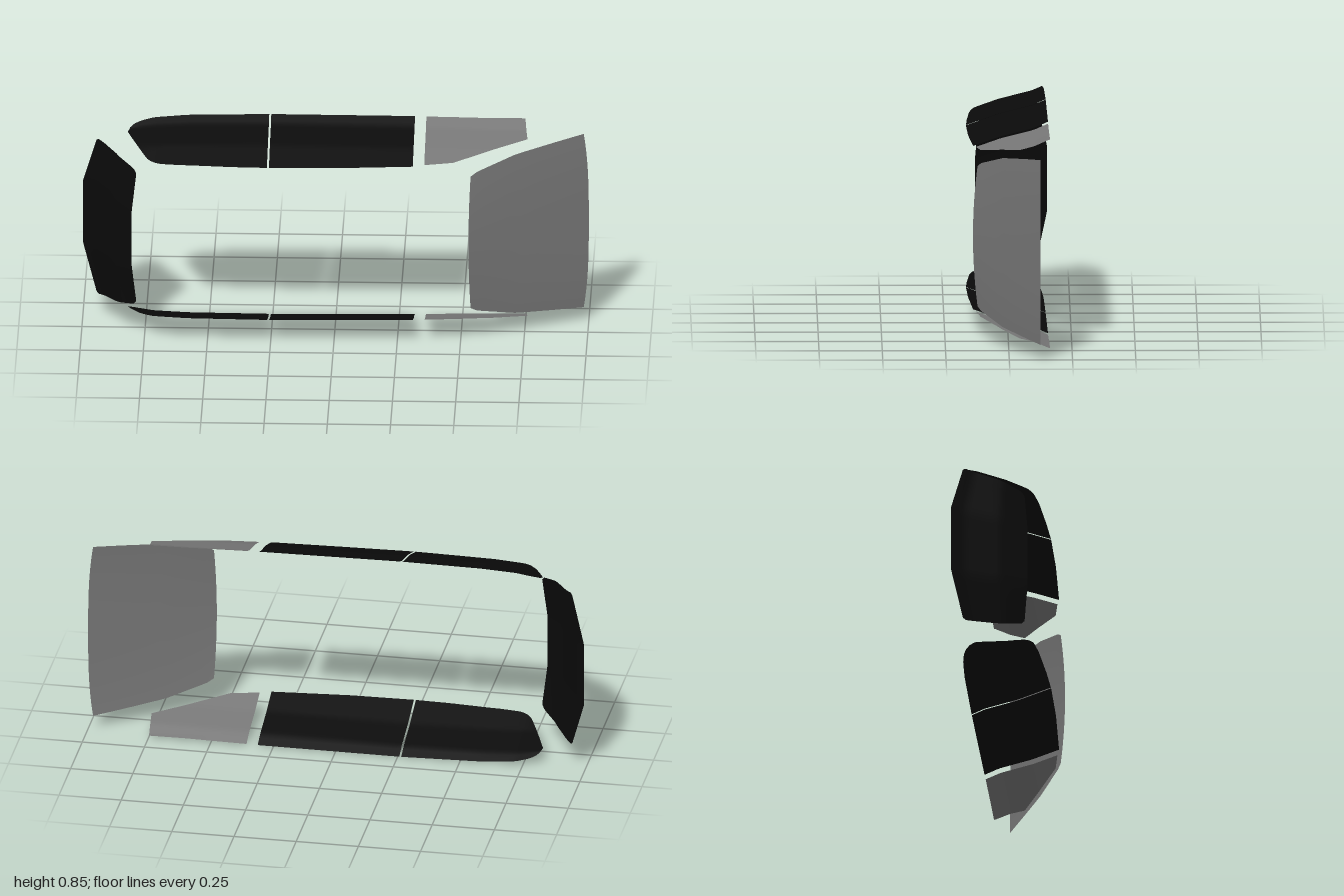
import * as THREE from 'three';

const MID = 0.4285; // height of the mirror plane
const dark = new THREE.MeshStandardMaterial({ color: 0x0a0a0a, side: THREE.DoubleSide });
const grey = new THREE.MeshStandardMaterial({ color: 0x777777, side: THREE.DoubleSide });

// Piecewise linear lookup through [input, output] pairs, inputs ascending
function table(points, t) {
  if (t <= points[0][0]) return points[0][1];
  for (let i = 1; i < points.length; i++) {
    const [a, p] = points[i - 1], [b, q] = points[i];
    if (t <= b) return p + ((q - p) * (t - a)) / (b - a);
  }
  return points[points.length - 1][1];
}

// Curved sheet of glass from a rule (u, v) -> [x, y, z]
function sheet(name, material, rule, nu = 24, nv = 18) {
  const pos = [], index = [];
  for (let j = 0; j <= nv; j++)
    for (let i = 0; i <= nu; i++) pos.push(...rule(i / nu, j / nv));
  for (let j = 0; j < nv; j++)
    for (let i = 0; i < nu; i++) {
      const a = j * (nu + 1) + i, c = a + nu + 1;
      index.push(a, a + 1, c, a + 1, c + 1, c);
    }
  const g = new THREE.BufferGeometry();
  g.setAttribute('position', new THREE.Float32BufferAttribute(pos, 3));
  g.setIndex(index);
  g.computeVertexNormals();
  const mesh = new THREE.Mesh(g, material);
  mesh.name = name;
  return mesh;
}

// Side glass: section across z, plus a taper towards both ends
const section = [[-0.16, 0.858], [-0.1, 0.832], [0.03, 0.799], [0.163, 0.752]];
const taper = [[-0.82, -0.026], [-0.72, -0.01], [-0.58, -0.003], [-0.26, 0], [0.31, -0.006], [0.6, -0.013]];
const sideY = (x, z) => table(section, z) + table(taper, x);

// Roof edge and sill edge of the three side panes
const sidePanes = [
  { name: 'rearSideWindow', material: dark, x0: -0.82, x1: -0.264,
    roof: [[-0.82, -0.08], [-0.8, -0.03], [-0.77, 0.04], [-0.74, 0.1], [-0.72, 0.122], [-0.69, 0.135], [-0.6, 0.147], [-0.4, 0.158], [-0.26, 0.162]],
    sill: [[-0.82, -0.085], [-0.812, -0.108], [-0.795, -0.124], [-0.77, -0.134], [-0.72, -0.142], [-0.6, -0.148], [-0.26, -0.153]] },
  { name: 'middleSideWindow', material: dark, x0: -0.256, x1: 0.312,
    roof: [[-0.256, 0.162], [0, 0.156], [0.312, 0.138]],
    sill: [[-0.256, -0.153], [0.312, -0.158]] },
  { name: 'frontSideWindow', material: grey, x0: 0.357, x1: 0.76,
    roof: [[0.357, 0.127], [0.47, 0.109], [0.76, -0.042]],
    sill: [[0.357, -0.158], [0.75, -0.163]] },
];

function sideWindow(p, lower) {
  return sheet((lower ? 'lower_' : 'upper_') + p.name, p.material, (u, v) => {
    let s = lower ? 1 - u : u;
    if (p.name === 'rearSideWindow') s = s ** 1.8; // denser at the rounded tip
    const x = p.x0 + (p.x1 - p.x0) * s;
    const z = THREE.MathUtils.lerp(table(p.roof, x), table(p.sill, x), v);
    // slanted front end of the front pane
    const xe = p.name === 'frontSideWindow' ? x - 0.012 * v * Math.max(0, (x - 0.6) / 0.16) : x;
    const y = sideY(x, z);
    return [xe, lower ? 2 * MID - y : y, z];
  }, 32, 18);
}

// Windscreen, bowed across its width
function windscreen() {
  return sheet('windscreen', grey, (u, v) => {
    const s = 1 - 2 * u, a = Math.abs(s);
    const half = table([[0, 0.28], [0.02, 0.288], [0.06, 0.296], [0.4, 0.338], [0.75, 0.357], [1, 0.369]], v);
    const x = 0.532 + 0.468 * v + (1 - v) * 0.008 * a * a - v * 0.02 * a ** 3;
    const z = table([[0, 0.14], [0.4, 0.034], [0.5, 0.008], [1, -0.123]], v) - 0.018 * a * a * (1 - v);
    return [x, MID + s * half, z];
  });
}

// Rear window, with its sill edge bent forward beside a straight centre
function rearWindow() {
  return sheet('rearWindow', dark, (u, v) => {
    const s = 2 * u - 1, a = Math.abs(s);
    const half = table([[0, 0.272], [0.03, 0.283], [0.08, 0.289], [0.5, 0.315], [0.95, 0.33], [1, 0.322]], v);
    const bend = table([[0, 0], [0.42, 0.003], [1, 1]], a);
    const x = table([[0, -0.8], [0.4, -0.88], [0.8, -0.963], [1, -1]], v) + bend * (0.018 + 0.036 * v);
    const z = table([[0, 0.122], [0.4, 0.022], [0.8, -0.115], [1, -0.163]], v) + bend * (0.042 * v - 0.014 * (1 - v));
    return [x, MID + s * half, z];
  });
}

export function createModel() {
  const model = new THREE.Group();
  model.name = 'carGlass';
  for (const pane of sidePanes) model.add(sideWindow(pane, false), sideWindow(pane, true));
  model.add(windscreen(), rearWindow());
  return model;
}
